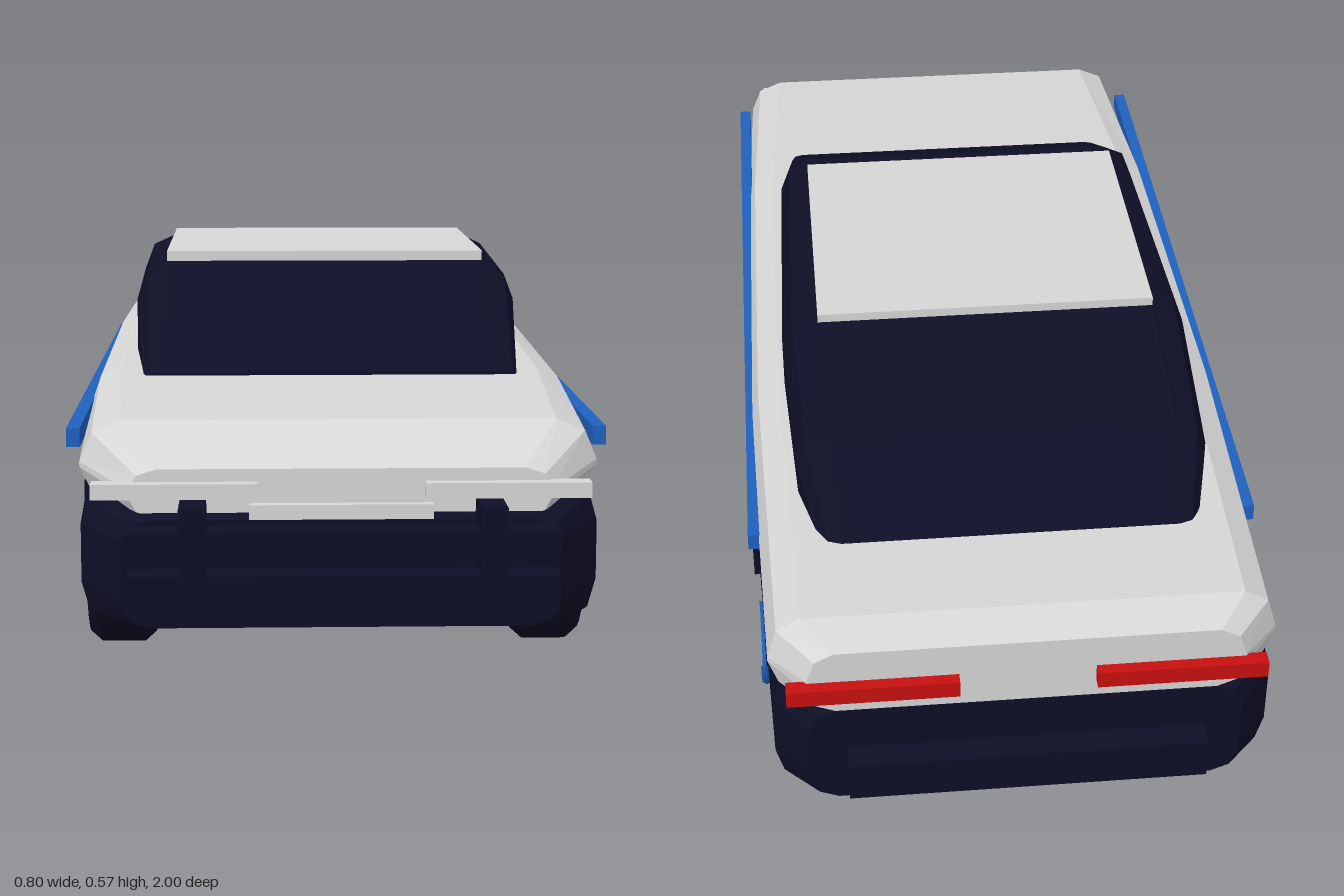
import * as THREE from 'three';

const mat = (name, color) => {
  const m = new THREE.MeshStandardMaterial({ color });
  m.name = name;
  return m;
};

// Closed faceted hull through rounded-rectangle sections [z, halfWidth, yBottom, yTop, rx, ryBottom, ryTop], front to back
function loft(sections) {
  const steps = 2;
  const rings = sections.map(([z, w, y0, y1, rx, rb, rt]) => {
    const ring = [];
    const corners = [[1, y1, -rt, rt], [-1, y1, -rt, rt], [-1, y0, rb, rb], [1, y0, rb, rb]];
    corners.forEach(([sx, y, dy, ry], c) => {
      for (let k = 0; k <= steps; k++) {
        const a = (c + k / steps) * Math.PI / 2;
        ring.push([sx * (w - rx) + Math.cos(a) * rx, y + dy + Math.sin(a) * ry, z]);
      }
    });
    return ring;
  });
  const pos = [];
  const tri = (...pts) => pts.forEach((p) => pos.push(...p));
  const n = rings[0].length;
  for (let i = 0; i < rings.length - 1; i++) {
    for (let j = 0; j < n; j++) {
      const k = (j + 1) % n;
      const [a, b, c, d] = [rings[i][j], rings[i][k], rings[i + 1][k], rings[i + 1][j]];
      tri(a, c, b);
      tri(a, d, c);
    }
  }
  const front = rings[0], back = rings[rings.length - 1];
  for (let j = 1; j < n - 1; j++) {
    tri(front[0], front[j], front[j + 1]);
    tri(back[0], back[j + 1], back[j]);
  }
  const g = new THREE.BufferGeometry();
  g.setAttribute('position', new THREE.Float32BufferAttribute(pos, 3));
  g.computeVertexNormals();
  return g;
}

export function createModel() {
  const car = new THREE.Group();
  car.name = 'car';
  const silver = mat('silver', 0xd6d6d6);
  const dark = mat('midnight', 0x0e0e26);
  const blue = mat('blue', 0x2060bd);
  const red = mat('red', 0xc81010);

  const add = (name, geometry, material) => {
    const m = new THREE.Mesh(geometry, material);
    m.name = name;
    car.add(m);
    return m;
  };
  // Box given by its extents
  const box = (name, material, x0, x1, y0, y1, z0, z1) => {
    const m = add(name, new THREE.BoxGeometry(x1 - x0, y1 - y0, z1 - z0), material);
    m.position.set((x0 + x1) / 2, (y0 + y1) / 2, (z0 + z1) / 2);
    return m;
  };

  // Main shells
  add('lowerBody', loft([
    [0.93, 0.31, 0.10, 0.255, 0.04, 0.03, 0.03],
    [0.85, 0.372, 0.09, 0.295, 0.04, 0.06, 0.06],
    [0.40, 0.388, 0.085, 0.305, 0.04, 0.06, 0.05],
    [-0.50, 0.388, 0.09, 0.32, 0.04, 0.06, 0.05],
    [-0.90, 0.372, 0.11, 0.325, 0.04, 0.06, 0.05],
    [-0.96, 0.32, 0.125, 0.30, 0.04, 0.04, 0.04],
  ]), dark);
  add('upperBody', loft([
    [0.915, 0.30, 0.255, 0.325, 0.04, 0.03, 0.03],
    [0.82, 0.375, 0.262, 0.38, 0.06, 0.05, 0.06],
    [0.40, 0.388, 0.27, 0.40, 0.05, 0.06, 0.06],
    [-0.30, 0.392, 0.28, 0.415, 0.05, 0.06, 0.07],
    [-0.90, 0.375, 0.29, 0.428, 0.05, 0.06, 0.07],
    [-0.96, 0.32, 0.30, 0.41, 0.04, 0.04, 0.05],
  ]), silver);
  add('cabin', loft([
    [0.475, 0.298, 0.35, 0.402, 0.02, 0.01, 0.01],
    [0.20, 0.322, 0.35, 0.55, 0.055, 0.01, 0.06],
    [-0.30, 0.332, 0.35, 0.565, 0.06, 0.01, 0.065],
    [-0.60, 0.318, 0.35, 0.522, 0.05, 0.01, 0.05],
    [-0.735, 0.285, 0.35, 0.425, 0.03, 0.01, 0.02],
  ]), dark);
  const roof = box('roofPanel', silver, -0.273, 0.273, 0.554, 0.571, -0.34, 0.15);
  roof.rotation.x = 0.01;

  // Nose and tail trim
  box('nosePlate', silver, -0.13, 0.13, 0.255, 0.276, 0.905, 0.93);
  box('upperFrontBumper', dark, -0.3, 0.3, 0.21, 0.252, 0.95, 1);
  box('lowerFrontBumper', dark, -0.3, 0.3, 0.14, 0.19, 0.95, 1);
  box('rearBumper', dark, -0.265, 0.265, 0.16, 0.225, -1, -0.95);

  // Wheel profile with chamfered shoulders, turned about x
  const tire = new THREE.LatheGeometry([
    [0, -0.05], [0.12, -0.05], [0.135, -0.033], [0.135, 0.033], [0.12, 0.05], [0, 0.05],
  ].map(([r, y]) => new THREE.Vector2(r, y)), 28).toNonIndexed();
  tire.computeVertexNormals();
  tire.rotateZ(Math.PI / 2);
  const hub = new THREE.CylinderGeometry(0.07, 0.08, 0.012, 20).rotateZ(Math.PI / 2);

  for (const s of [1, -1]) {
    const side = s > 0 ? 'left' : 'right';
    const pair = (name, m, x0, x1, ...rest) =>
      box(side + name, m, Math.min(s * x0, s * x1), Math.max(s * x0, s * x1), ...rest);
    pair('Headlight', silver, 0.118, 0.352, 0.285, 0.307, 0.905, 0.935);
    pair('BumperGuard', dark, 0.19, 0.227, 0.14, 0.284, 0.90, 1);
    pair('TailLight', red, 0.10, 0.35, 0.33, 0.357, -0.978, -0.955);
    pair('Stripe', blue, 0.38, 0.4, 0.328, 0.356, -0.62, 0.745);
    pair('SideSkirt', dark, 0.37, 0.4, 0.104, 0.216, -0.42, 0.42);
    for (const z of [0.6, -0.6]) {
      const end = z > 0 ? 'Front' : 'Rear';
      add(side + end + 'Wheel', tire, dark).position.set(s * 0.325, 0.135, z);
      add(side + end + 'Hub', hub, dark).position.set(s * 0.377, 0.135, z);
    }
  }

  // Glowing lower half ring on the left rear wheel
  const ring = new THREE.TorusGeometry(0.078, 0.008, 6, 24, Math.PI).rotateZ(Math.PI).rotateY(Math.PI / 2);
  add('wheelRing', ring, blue).position.set(0.385, 0.138, -0.6);

  return car;
}
